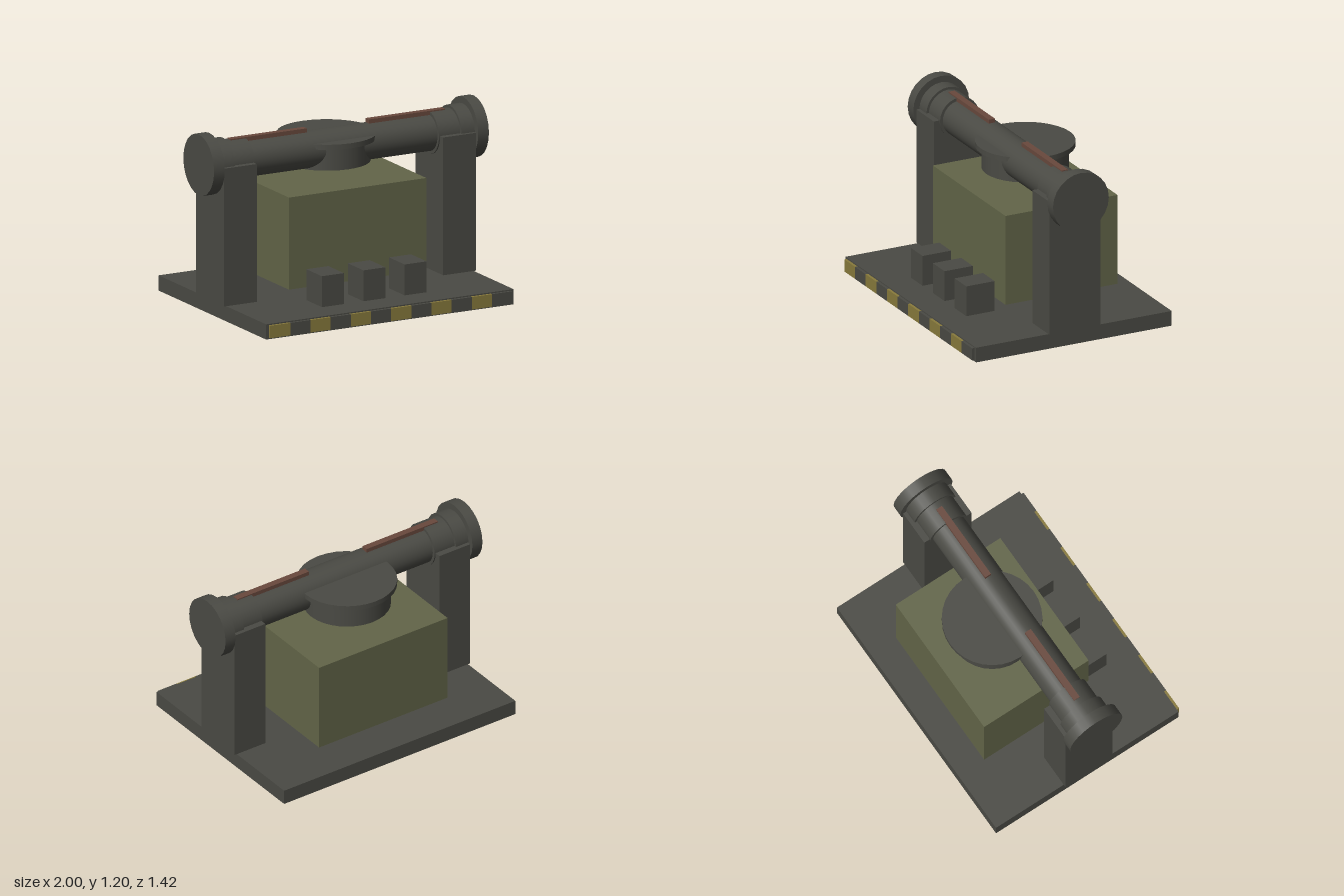
import * as THREE from 'three';

const flat = (name, color) => {
  const m = new THREE.MeshStandardMaterial({ color });
  m.name = name;
  return m;
};

export function createModel() {
  const model = new THREE.Group();
  model.name = 'machine';
  const steel = flat('dark steel', 0x4a4a44);
  const olive = flat('olive', 0x626548);
  const yellow = flat('hazard yellow', 0x887a3c);
  const rust = flat('rust red', 0x69493d);

  const add = (name, geometry, material, x, y, z) => {
    const mesh = new THREE.Mesh(geometry, material);
    mesh.name = name;
    mesh.position.set(x, y, z);
    model.add(mesh);
    return mesh;
  };
  // box given by its limits on each axis
  const box = (name, mat, [x0, x1], [y0, y1], [z0, z1]) =>
    add(name, new THREE.BoxGeometry(x1 - x0, y1 - y0, z1 - z0), mat,
      (x0 + x1) / 2, (y0 + y1) / 2, (z0 + z1) / 2);
  // cylinder lying along x on the roller axis
  const AXIS_Y = 1, AXIS_Z = -0.008;
  const roller = (name, r, x0, x1, sides = 24) => {
    const g = new THREE.CylinderGeometry(r, r, x1 - x0, sides).rotateZ(Math.PI / 2);
    return add(name, g, steel, (x0 + x1) / 2, AXIS_Y, AXIS_Z);
  };

  // base plate and the striped front edge
  box('basePlate', steel, [-0.9, 0.9], [0, 0.1], [-0.71, 0.69]);
  const stripes = 12, w = 1.76 / stripes;
  for (let i = 0; i < stripes; i++) {
    const x = -0.88 + i * w;
    box('edgeStripe', i % 2 ? steel : yellow, [x, x + w], [0.01, 0.092], [0.69, 0.708]);
  }

  // housing and the three control blocks in front of it
  box('housing', olive, [-0.5, 0.5], [0.18, 0.785], [-0.53, 0.272]);
  for (const x of [-0.302, 0, 0.3])
    box('controlBlock', steel, [x - 0.08, x + 0.08], [0.1, 0.303], [0.287, 0.49]);

  // horizontal tube
  roller('mainTube', 0.12, -0.92, 0.92, 32);

  // mirrored posts, collars, end caps and top strips
  for (const s of [-1, 1]) {
    const span = (a, b) => (s > 0 ? [a, b] : [-b, -a]);
    box('post', steel, span(0.678, 0.917), [0.1, 1.005], [-0.19, 0.172]);
    roller('innerCollar', 0.14, ...span(0.67, 0.83));
    roller('outerCollar', 0.157, ...span(0.825, 0.922));
    roller('endCap', 0.2, ...span(0.922, 1));
    box('topStrip', rust, span(0.225, 0.78), [1.11, 1.145], [-0.03, 0.014]);
  }

  // round turret crossing the tube
  add('turretDrum', new THREE.CylinderGeometry(0.28, 0.28, 0.15, 32), steel, 0, 0.953, -0.13);
  add('turretFlange', new THREE.CylinderGeometry(0.32, 0.32, 0.034, 32), steel, 0, 1.042, -0.13);

  return model;
}
